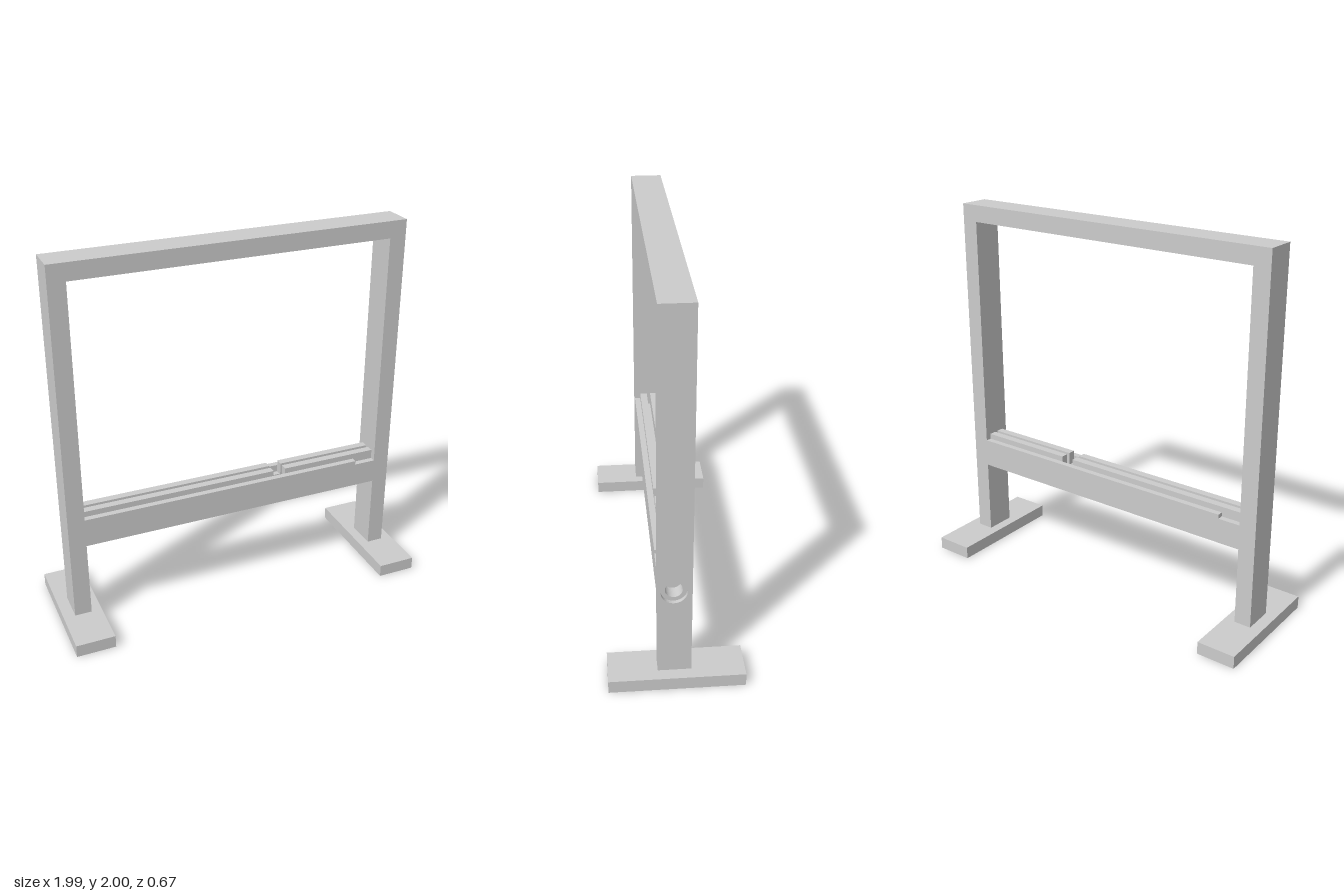
import * as THREE from 'three';

const material = new THREE.MeshStandardMaterial({ color: 0xcccccc, flatShading: true });
const smooth = new THREE.MeshStandardMaterial({ color: 0xcccccc });
const ZB = -0.073, ZF = 0.092, ZM = (ZB + ZF) / 2; // frame back, front, middle

function rectPath(Type, x0, x1, y0, y1) {
  const p = new Type();
  p.moveTo(x0, y0).lineTo(x1, y0).lineTo(x1, y1).lineTo(x0, y1).closePath();
  return p;
}

export function createModel() {
  const group = new THREE.Group();
  const add = (name, geometry, mat = material) => {
    const mesh = new THREE.Mesh(geometry, mat);
    mesh.name = name;
    group.add(mesh);
    return mesh;
  };
  const box = (name, x0, x1, y0, y1, z0, z1) =>
    add(name, new THREE.BoxGeometry(x1 - x0, y1 - y0, z1 - z0)
      .translate((x0 + x1) / 2, (y0 + y1) / 2, (z0 + z1) / 2));

  // Feet
  for (const s of [-1, 1]) {
    const c = s * 0.89;
    box(s < 0 ? 'rightFoot' : 'leftFoot', c - 0.104, c + 0.104, 0, 0.068, -0.337, 0.337);
  }

  // Right post and top bar in one piece
  const arch = new THREE.Shape();
  arch.moveTo(-0.932, 0.068).lineTo(-0.842, 0.068).lineTo(-0.842, 1.91)
    .lineTo(0.842, 1.91).lineTo(0.842, 2).lineTo(-0.932, 2).closePath();
  add('postAndTopBar', new THREE.ExtrudeGeometry(arch, { depth: ZF - ZB, bevelEnabled: false })
    .translate(0, 0, ZB));

  // Left post: a wider counterbore in the outer layer, a narrower bore behind it
  const postLayer = (name, x0, x1, r) => {
    const shape = rectPath(THREE.Shape, -ZF, -ZB, 0.068, 2);
    const hole = new THREE.Path();
    hole.absarc(-0.014, 0.545, r, 0, Math.PI * 2, true);
    shape.holes.push(hole);
    const g = new THREE.ExtrudeGeometry(shape, { depth: x1 - x0, bevelEnabled: false, curveSegments: 24 });
    add(name, g.rotateY(Math.PI / 2).translate(x0, 0, 0), smooth);
  };
  postLayer('leftPostInner', 0.842, 0.912, 0.043);
  postLayer('leftPostOuter', 0.912, 0.932, 0.064);

  // Cross beam with a small slot through its floor
  const plan = rectPath(THREE.Shape, -0.842, 0.842, -ZF, -ZB);
  plan.holes.push(rectPath(THREE.Path, 0.23, 0.30, -0.03, 0.01));
  add('crossBeam', new THREE.ExtrudeGeometry(plan, { depth: 0.115, bevelEnabled: false })
    .rotateX(-Math.PI / 2).translate(0, 0.485, 0));

  // Beam edges, notched at opposite ends, and the raised rails with a gap
  for (const s of [1, -1]) {
    const side = s > 0 ? 'front' : 'back';
    const lip = new THREE.Shape();
    lip.moveTo(-0.842, 0.6).lineTo(0.842, 0.6).lineTo(0.842, 0.618).lineTo(0.722, 0.618)
      .lineTo(0.722, 0.64).lineTo(-0.842, 0.64).closePath();
    const g = new THREE.ExtrudeGeometry(lip, { depth: 0.032, bevelEnabled: false })
      .translate(0, 0, (ZF - ZB) / 2 - 0.032);
    if (s < 0) g.rotateY(Math.PI);
    add(side + 'BeamEdge', g.translate(0, 0, ZM));

    const za = ZM + s * 0.01, zb = ZM + s * 0.05;
    for (const [x0, x1] of [[-0.842, 0.23], [0.30, 0.842]])
      box(side + 'Rail', x0, x1, 0.6, 0.67, Math.min(za, zb), Math.max(za, zb));
  }
  return group;
}
